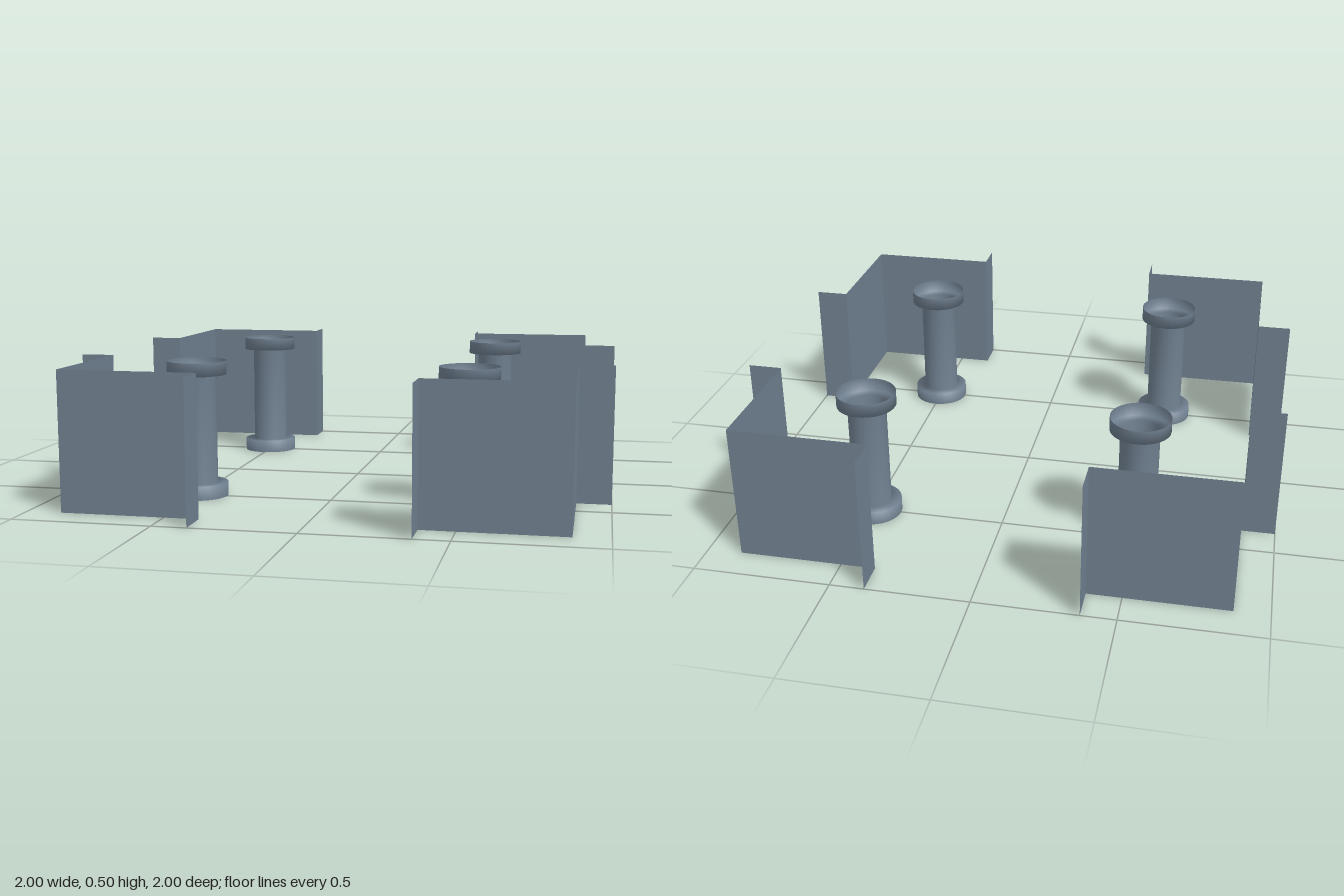
import * as THREE from 'three';

const HEIGHT = 0.5;

export function createModel() {
  const model = new THREE.Group();
  model.name = 'cornerPanelsAndSpools';

  const steel = new THREE.MeshStandardMaterial({ color: 0x708090, side: THREE.DoubleSide });
  steel.name = 'slate grey';

  // Plan of one bent sheet as [x, z]: flange, wall, corner, wall, flange
  const plan = [[1, 0.375], [0.875, 0.375], [0.875, 0.875], [0.375, 0.875], [0.375, 1]];
  const panelNames = ['sideFlange', 'sideWall', 'frontWall', 'frontFlange'];

  // Hollow spool: open rim, ledge, tube, ledge, open rim
  const rim = 0.109, tube = 0.071, rimHeight = 0.05;
  const profile = [
    [rim, 0], [rim, rimHeight], [tube, rimHeight],
    [tube, HEIGHT - rimHeight], [rim, HEIGHT - rimHeight], [rim, HEIGHT],
  ].map(([r, y]) => new THREE.Vector2(r, y));
  const spoolGeometry = new THREE.LatheGeometry(profile, 32);

  // Upright sheet between two plan points
  function panel([x0, z0], [x1, z1], name) {
    const dx = x1 - x0, dz = z1 - z0;
    const mesh = new THREE.Mesh(new THREE.PlaneGeometry(Math.hypot(dx, dz), HEIGHT), steel);
    mesh.position.set((x0 + x1) / 2, HEIGHT / 2, (z0 + z1) / 2);
    mesh.rotation.y = Math.atan2(-dz, dx) + Math.PI;
    mesh.name = name;
    return mesh;
  }

  // The same corner repeated in four quarter turns
  const cornerNames = ['frontLeft', 'backLeft', 'backRight', 'frontRight'];
  cornerNames.forEach((cornerName, i) => {
    const corner = new THREE.Group();
    corner.name = cornerName + 'Corner';
    corner.rotation.y = i * Math.PI / 2;

    panelNames.forEach((name, k) => corner.add(panel(plan[k], plan[k + 1], name)));

    const spool = new THREE.Mesh(spoolGeometry, steel);
    spool.name = 'spool';
    spool.position.set(0.5, 0, 0.5);
    corner.add(spool);

    model.add(corner);
  });

  return model;
}
